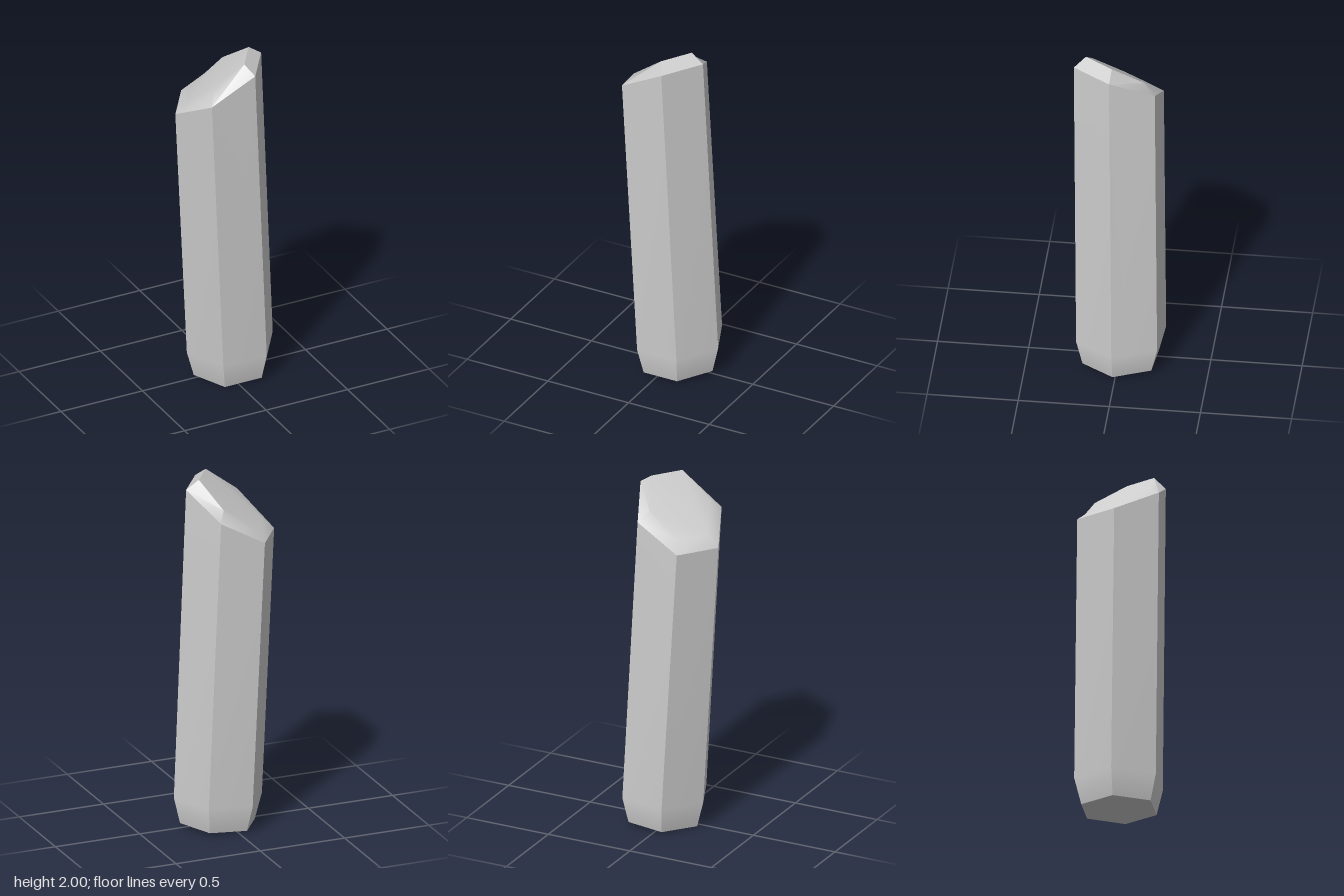
import * as THREE from 'three';

const SIDES = 6;

// Gives each corner the area-weighted normal of the faces around it within the crease angle.
function creaseByArea(geometry, creaseDegrees) {
  const limit = Math.cos(THREE.MathUtils.degToRad(creaseDegrees));
  const index = geometry.index.array;
  const position = geometry.getAttribute('position');
  const corner = (i) => new THREE.Vector3().fromBufferAttribute(position, index[i]);
  const faces = [];
  for (let i = 0; i < index.length; i += 3) {
    const a = corner(i);
    const cross = corner(i + 1).sub(a).cross(corner(i + 2).sub(a));
    faces.push({ corners: [...index.slice(i, i + 3)], cross, unit: cross.clone().normalize() });
  }
  const normals = [];
  for (const face of faces) {
    for (const vertex of face.corners) {
      const sum = new THREE.Vector3();
      for (const other of faces) {
        if (other.corners.includes(vertex) && other.unit.dot(face.unit) > limit) sum.add(other.cross);
      }
      normals.push(...sum.normalize().toArray());
    }
  }
  const result = geometry.toNonIndexed();
  result.setAttribute('normal', new THREE.Float32BufferAttribute(normals, 3));
  return result;
}

// Joins a stack of six-point rings (listed bottom to top) into a creased surface.
function loft(rings, creaseDegrees, { closeTop = false, closeBottom = false }) {
  const index = [];
  for (let r = 0; r < rings.length - 1; r++) {
    for (let i = 0; i < SIDES; i++) {
      const a = r * SIDES + i;
      const b = r * SIDES + (i + 1) % SIDES;
      index.push(a, b, b + SIDES, a, b + SIDES, a + SIDES);
    }
  }
  const last = (rings.length - 1) * SIDES;
  for (let i = 1; i < SIDES - 1; i++) {
    if (closeTop) index.push(last, last + i, last + i + 1);
    if (closeBottom) index.push(0, i + 1, i);
  }
  const geometry = new THREE.BufferGeometry();
  geometry.setAttribute('position', new THREE.Float32BufferAttribute(rings.flat(2), 3));
  geometry.setIndex(index);
  return creaseByArea(geometry, creaseDegrees);
}

export function createModel() {
  const group = new THREE.Group();
  group.name = 'crystalPillar';
  const stone = new THREE.MeshStandardMaterial({ color: 0xcccccc });
  stone.name = 'pale grey stone';

  // Slanted shoulder where the shaft meets the cap
  const shoulder = [
    [-0.292, 1.67, -0.013], [-0.19, 1.803, 0.224], [0.065, 1.943, 0.245],
    [0.21, 1.95, 0.035], [0.105, 1.817, -0.204], [-0.146, 1.677, -0.225],
  ];
  // Inset face of the slanted cap
  const capFace = [
    [-0.223, 1.73, -0.004], [-0.15, 1.86, 0.167], [0.03, 1.995, 0.183],
    [0.137, 2.0, 0.028], [0.064, 1.87, -0.143], [-0.116, 1.735, -0.16],
  ];

  // Rings near the foot repeat the shoulder outline, square to the leaning axis
  const footRing = (scale, cx, cy, cz) => shoulder.map(([x, , z]) => {
    const dx = (x + 0.041) * scale;
    const dz = (z - 0.01) * scale;
    return [cx + dx, cy + 0.055 * dx - 0.012 * dz, cz + dz];
  });
  const foot = footRing(0.85, 0.043, 0.0125, -0.01);
  const bevel = footRing(1, 0.041, 0.163, -0.012);

  const shaft = new THREE.Mesh(
    loft([foot, bevel, shoulder], 30, { closeBottom: true }), stone);
  shaft.name = 'shaft';

  const cap = new THREE.Mesh(loft([shoulder, capFace], 45, { closeTop: true }), stone);
  cap.name = 'cap';

  group.add(shaft, cap);
  return group;
}
